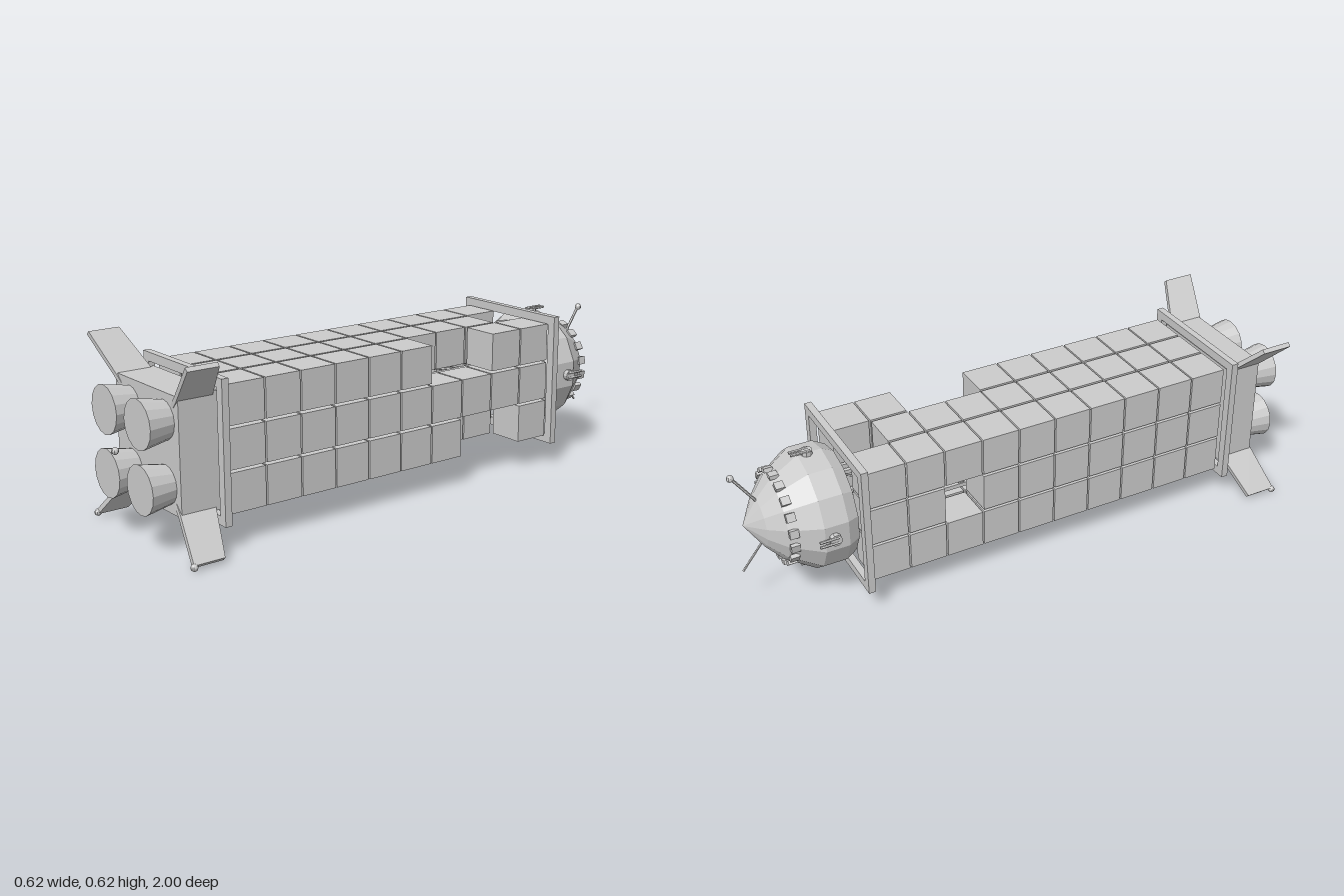
import * as THREE from 'three';

const mat = new THREE.MeshStandardMaterial({ color: 0xcccccc, flatShading: true });
const V = (x, y, z) => new THREE.Vector3(x, y, z);

export function createModel() {
  const ship = new THREE.Group();
  ship.name = 'cargoSpacecraft';
  ship.position.y = 0.312;

  const add = (name, geo, x = 0, y = 0, z = 0, parent = ship) => {
    const m = new THREE.Mesh(geo, mat);
    m.name = name;
    m.position.set(x, y, z);
    parent.add(m);
    return m;
  };
  // Round bar between two points
  const bar = (name, a, b, r, parent = ship) => {
    const d = b.clone().sub(a);
    const m = add(name, new THREE.CylinderGeometry(r, r, d.length(), 6), 0, 0, 0, parent);
    m.position.copy(a).add(b).multiplyScalar(0.5);
    m.quaternion.setFromUnitVectors(V(0, 1, 0), d.normalize());
    return m;
  };

  // Cargo containers: eight columns around the spine, with some slots empty
  const pitch = 0.137, step = 0.1335, firstZ = 0.648;
  const empty = new Set(['1,1,6', '1,1,7', '1,-1,7', '1,-1,8', '0,1,9', '0,-1,9', '-1,0,7']);
  const box = new THREE.BoxGeometry(0.131, 0.131, 0.128);
  const cargo = new THREE.Group();
  cargo.name = 'cargoContainers';
  ship.add(cargo);
  for (let i = -1; i <= 1; i++) {
    for (let j = -1; j <= 1; j++) {
      if (!i && !j) continue;
      for (let k = 0; k < 10; k++) {
        if (empty.has(`${i},${j},${k}`)) continue;
        add('container', box, i * pitch * 1.02, j * pitch * 1.02, firstZ - k * step, cargo);
      }
    }
  }

  // Spine truss: four longerons, hoops at each bay and diagonals
  const truss = new THREE.Group();
  truss.name = 'spineTruss';
  ship.add(truss);
  const t = 0.053;
  const corners = [[t, t], [-t, t], [-t, -t], [t, -t]];
  corners.forEach(([x, y], c) => {
    const [x2, y2] = corners[(c + 1) % 4];
    add('longeron', new THREE.BoxGeometry(0.014, 0.014, 1.37), x, y, 0.045, truss);
    for (let k = 0; k <= 10; k++) {
      const z = firstZ + step / 2 - k * step;
      bar('crossBar', V(x, y, z), V(x2, y2, z), 0.005, truss);
      if (k < 10) bar('diagonal', V(x, y, z - step), V(x2, y2, z), 0.004, truss);
    }
  });

  // Square end frames
  const square = (P, h) => [[-h, -h], [h, -h], [h, h], [-h, h]].reduce(
    (p, [x, y], i) => (i ? p.lineTo(x, y) : p.moveTo(x, y), p), new P());
  const frameShape = square(THREE.Shape, 0.232);
  frameShape.holes.push(square(THREE.Path, 0.202));
  const frameGeo = new THREE.ExtrudeGeometry(frameShape, { depth: 0.024, bevelEnabled: false });
  add('engineFrame', frameGeo, 0, 0, 0.727);
  add('capsuleFrame', frameGeo, 0, 0, -0.648);

  // Engine block with four nozzles and a tail beacon
  add('engineBlock', new THREE.BoxGeometry(0.376, 0.376, 0.135), 0, 0, 0.808);
  const nozzle = new THREE.CylinderGeometry(0.08, 0.062, 0.095, 16).rotateX(Math.PI / 2);
  for (const x of [-0.102, 0.102])
    for (const y of [-0.102, 0.102]) add('nozzle', nozzle, x, y, 0.918);
  const ball = new THREE.SphereGeometry(0.012, 10, 8);
  add('tailBeacon', ball, 0, 0, 0.988);

  // Diagonal swept fins, with beacons on the lower pair
  const finShape = new THREE.Shape([
    [0.21, 0.755], [0.255, 0.755], [0.422, 0.8], [0.422, 0.908], [0.255, 0.88], [0.21, 0.875],
  ].map(p => new THREE.Vector2(...p)));
  const finGeo = new THREE.ExtrudeGeometry(finShape, { depth: 0.016, bevelEnabled: false })
    .translate(0, 0, -0.008).rotateX(Math.PI / 2);
  for (let i = 0; i < 4; i++) add('fin', finGeo).rotation.z = Math.PI / 4 + i * Math.PI / 2;
  for (const s of [-1, 1]) add('finBeacon', ball, s * 0.3, -0.3, 0.905);

  // Faceted crew capsule pointing to the rear
  const profile = [[0, 0.645], [0.182, 0.645], [0.203, 0.685], [0.203, 0.765],
    [0.142, 0.862], [0.085, 0.913], [0, 0.966]].map(p => new THREE.Vector2(...p));
  add('capsule', new THREE.LatheGeometry(profile, 14).rotateX(-Math.PI / 2));

  // Ring of raised windows
  const windowGeo = new THREE.BoxGeometry(0.028, 0.014, 0.03);
  for (let i = 0; i < 18; i++) {
    const a = (i / 18) * Math.PI * 2;
    add('window', windowGeo, -Math.sin(a) * 0.155, Math.cos(a) * 0.155, -0.85).rotation.z = a;
  }

  // Four thruster pods, each with a pair of thin rods
  for (let i = 0; i < 4; i++) {
    const pod = new THREE.Group();
    pod.name = 'thrusterPod';
    pod.rotation.z = i * Math.PI / 2;
    ship.add(pod);
    add('podBase', new THREE.CylinderGeometry(0.02, 0.02, 0.025, 10), 0, 0.202, -0.735, pod);
    for (const s of [-1, 1])
      bar('podRod', V(s * 0.009, 0.213, -0.725), V(s * 0.009, 0.213, -0.79), 0.005, pod);
  }

  // Nose antennas
  bar('upperAntenna', V(0, 0.06, -0.9), V(0, 0.186, -0.984), 0.005);
  add('antennaTip', ball, 0, 0.186, -0.986);
  bar('lowerAntenna', V(0, -0.06, -0.89), V(0, -0.175, -0.982), 0.004);

  const root = new THREE.Group();
  root.add(ship);
  return root;
}
